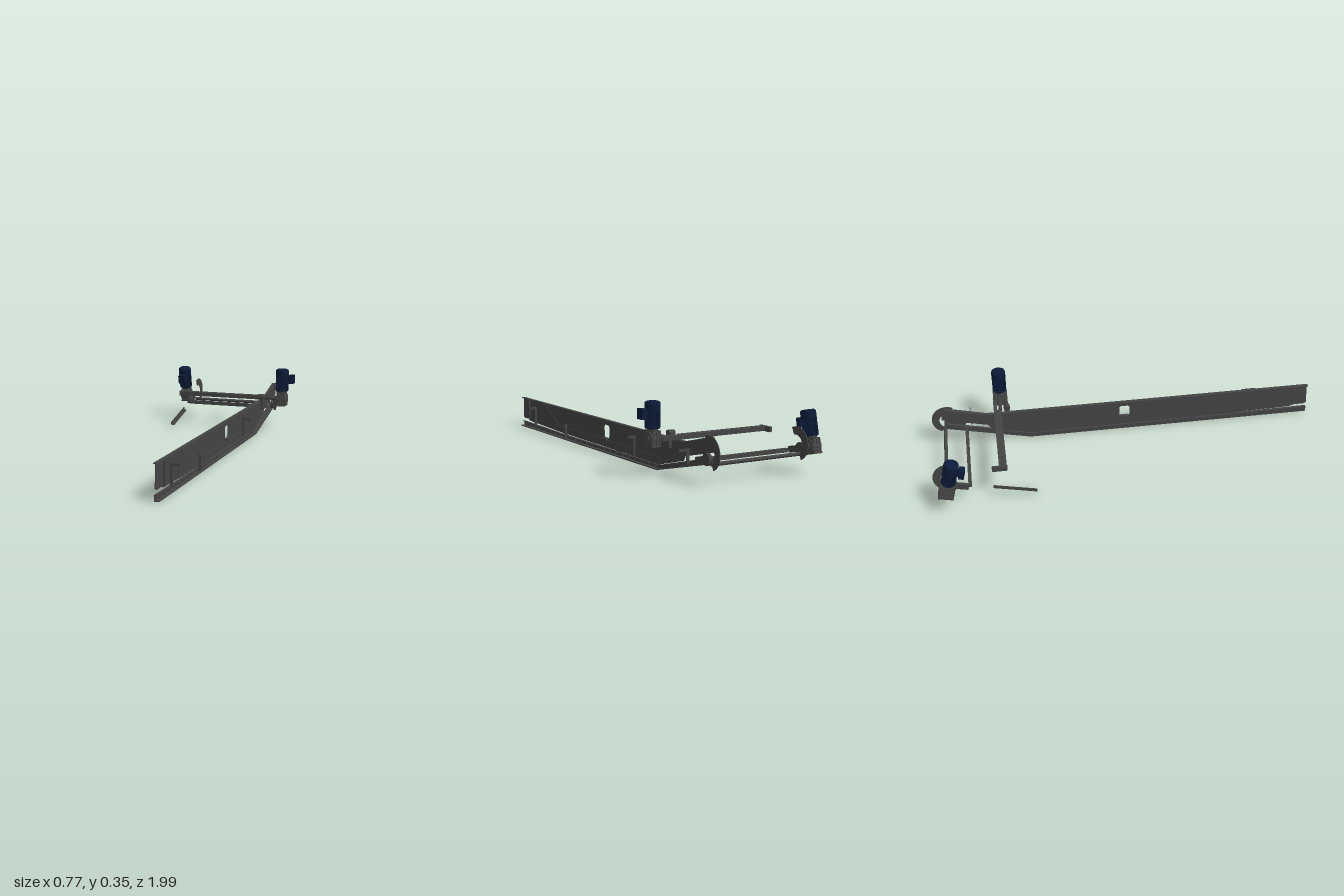
import * as THREE from 'three';

const steel = new THREE.MeshStandardMaterial({ color: 0x444444, side: THREE.DoubleSide });
const cast = new THREE.MeshStandardMaterial({ color: 0x484848 });
const navy = new THREE.MeshStandardMaterial({ color: 0x0b1b38 });

function add(parent, name, geometry, material, x = 0, y = 0, z = 0) {
  const mesh = new THREE.Mesh(geometry, material);
  mesh.name = name;
  mesh.position.set(x, y, z);
  parent.add(mesh);
  return mesh;
}

// Box given by its lower and upper limits
function box(parent, name, [x0, x1], [y0, y1], [z0, z1], material = steel) {
  return add(parent, name, new THREE.BoxGeometry(x1 - x0, y1 - y0, z1 - z0), material,
    (x0 + x1) / 2, (y0 + y1) / 2, (z0 + z1) / 2);
}

// Cylinder lying along x
function rod(parent, name, r, [x0, x1], y, z, material = steel, sides = 24) {
  const g = new THREE.CylinderGeometry(r, r, x1 - x0, sides).rotateZ(Math.PI / 2);
  return add(parent, name, g, material, (x0 + x1) / 2, y, z);
}

// Sheet cut from a side outline in (z, y), spanning x0 to x1
function sheet(parent, name, shape, [x0, x1]) {
  const g = new THREE.ExtrudeGeometry(shape, { depth: x1 - x0, bevelEnabled: false, curveSegments: 16 });
  return add(parent, name, g.rotateY(-Math.PI / 2), steel, x1);
}
const outline = (pts) => new THREE.Shape(pts.map(([z, y]) => new THREE.Vector2(z, y)));

// Flat strip following a polyline in (z, y)
function strip(parent, name, pts, t, xs) {
  const lower = pts.map(([z, y]) => [z, y - t]).reverse();
  return sheet(parent, name, outline([...pts, ...lower]), xs);
}

// Curved guard around the end of the conveyor
function guard(parent, x) {
  const s = new THREE.Shape();
  s.absarc(-0.922, 0.147, 0.077, 1.1, 4.3, false);
  s.absarc(-0.915, 0.14, 0.046, 4.1, 1.3, true);
  sheet(parent, 'endGuard', s, [x - 0.002, x + 0.002]);
}

// Upright geared motor; origin at the gearbox output shaft
function gearMotor(name) {
  const g = new THREE.Group();
  g.name = name;
  // gearbox with round flanges, ribs and foot
  box(g, 'gearboxCase', [-0.021, 0.021], [-0.027, 0.035], [-0.032, 0.032], cast);
  rod(g, 'gearboxCover', 0.034, [-0.026, 0.026], 0, 0, cast);
  rod(g, 'outputHub', 0.016, [-0.031, 0.031], 0, 0, cast);
  for (const x of [-0.018, 0, 0.018])
    box(g, 'gearboxRib', [x - 0.002, x + 0.002], [-0.032, 0.038], [-0.037, 0.037], cast);
  box(g, 'gearboxFoot', [-0.024, 0.024], [-0.036, -0.028], [-0.036, 0.036], cast);
  add(g, 'motorNeck', new THREE.CylinderGeometry(0.027, 0.023, 0.016, 24), cast, 0, 0.04);
  // motor body and fan cowl
  const profile = [[0, 0.046], [0.033, 0.046], [0.035, 0.05], [0.035, 0.054], [0.0315, 0.056], [0.0315, 0.125],
    [0.036, 0.126], [0.036, 0.156], [0.034, 0.163], [0.028, 0.167], [0, 0.168]];
  profile.slice(0, -1).forEach(([r, y], i) => {
    const [r2, y2] = profile[i + 1];
    const p = [new THREE.Vector2(r, y), new THREE.Vector2(r2, y2)];
    add(g, 'motorShell', new THREE.LatheGeometry(p, 32), navy);
  });
  // cooling fins
  for (let i = 0; i < 28; i++) {
    const a = (i / 28) * Math.PI * 2;
    const fin = add(g, 'coolingFin', new THREE.BoxGeometry(0.006, 0.072, 0.002), navy,
      0.0325 * Math.cos(a), 0.09, -0.0325 * Math.sin(a));
    fin.rotation.y = a;
  }
  return g;
}

// Terminal box on the side of a motor, facing local +x
function terminalBox(motor, turn) {
  const holder = new THREE.Group();
  holder.name = 'terminalBox';
  box(holder, 'terminalNeck', [0.028, 0.045], [0.1, 0.13], [-0.014, 0.014], navy);
  box(holder, 'terminalCase', [0.041, 0.067], [0.09, 0.137], [-0.02, 0.02], navy);
  holder.rotation.y = turn;
  motor.add(holder);
}

export function createModel() {
  const model = new THREE.Group();
  model.name = 'conveyorSide';

  // Main side plate with the inspection opening
  const plate = outline([[0.99, 0.165], [0.995, 0.055], [0.975, 0.048], [0.93, 0.05], [0.9, 0.04], [0.5, 0.03],
    [-0.5, 0.026], [-0.7, 0.076], [-0.715, 0.1], [-0.88, 0.138], [-0.95, 0.155], [-0.94, 0.215], [-0.9, 0.212], [-0.72, 0.166]]);
  const hole = new THREE.Path();
  const [hw, h0, h1, hr] = [0.027, 0.077, 0.141, 0.012];
  hole.absarc(hw - hr, h1 - hr, hr, 0, Math.PI / 2);
  hole.absarc(-hw + hr, h1 - hr, hr, Math.PI / 2, Math.PI);
  hole.absarc(-hw + hr, h0 + hr, hr, Math.PI, Math.PI * 1.5);
  hole.absarc(hw - hr, h0 + hr, hr, Math.PI * 1.5, Math.PI * 2);
  plate.holes.push(hole);
  sheet(model, 'sidePlate', plate, [0.19, 0.194]);

  // Top flange, running up the incline
  strip(model, 'topFlange', [[0.995, 0.167], [-0.72, 0.167], [-0.93, 0.22]], 0.004, [0.183, 0.203]);

  // Lower skirt overlapping the side plate
  sheet(model, 'lowerSkirt', outline([[0.72, 0.162], [0.69, 0.15], [0.64, 0.125], [0.53, 0.066],
    [-0.42, 0.064], [-0.5, 0.062], [-0.5, 0.028], [0.5, 0.032], [0.72, 0.036]]), [0.194, 0.197]);

  // Bottom channel with web, two lips and bolts
  const low = [[0.995, 0.03], [0.5, 0.024], [-0.5, 0.024], [-0.93, 0.13]];
  const base = [[0.995, 0.006], [-0.5, 0.006], [-0.93, 0.106]];
  sheet(model, 'bottomWeb', outline([...low, ...[...base].reverse()]), [0.186, 0.19]);
  strip(model, 'bottomLip', base, 0.005, [0.186, 0.21]);
  strip(model, 'channelLip', low, 0.003, [0.186, 0.2]);
  for (let i = 0; i < 24; i++)
    rod(model, 'railBolt', 0.004, [0.19, 0.199], 0.014, 0.96 - i * 0.062, steel, 6);

  // Stiffeners and support pegs
  for (const [z, y0, y1, x] of [[0.82, 0.03, 0.132, 0.205], [0.44, 0.008, 0.086, 0.208], [-0.28, 0.03, 0.132, 0.205]])
    box(model, 'stiffener', [0.194, x], [y0, y1], [z - 0.004, z + 0.004]);
  for (const z of [0.82, -0.285]) box(model, 'supportPeg', [0.194, 0.24], [0.118, 0.13], [z - 0.005, z + 0.005]);
  box(model, 'openingStop', [0.194, 0.209], [0.065, 0.075], [-0.02, 0.02]);
  box(model, 'endStiffener', [0.194, 0.202], [0.05, 0.162], [0.9, 0.906]);

  // Hand latch on the top edge
  rod(model, 'latchBar', 0.003, [0.198, 0.212], 0.16, 0.71);
  rod(model, 'latchBar', 0.003, [0.198, 0.212], 0.16, 0.64);
  box(model, 'latchGrip', [0.208, 0.213], [0.156, 0.164], [0.637, 0.713]);

  // Head plate and end guards
  sheet(model, 'headPlate', outline([[-0.7, 0.125], [-0.72, 0.168], [-0.9, 0.213], [-0.945, 0.2],
    [-0.95, 0.155], [-0.88, 0.14]]), [0.196, 0.2]);
  guard(model, 0.205);
  guard(model, -0.27);

  // Head shaft and cross rail between the sides
  rod(model, 'headShaft', 0.009, [-0.29, 0.205], 0.101, -0.935);
  box(model, 'crossRail', [-0.29, 0.188], [0.09, 0.109], [-0.833, -0.817]);
  for (const [x0, x1] of [[0.2, 0.217], [-0.308, -0.293]]) {
    const arm = box(model, 'bearingArm', [x0, x1], [0.1, 0.13], [-0.935, -0.83]);
    arm.rotation.x = 0.23;
    rod(model, 'bearingHousing', 0.028, [x0, x1], 0.12, -0.91);
  }

  // Upper cross beam with bolts, bearing and drive shaft
  box(model, 'crossBeam', [-0.29, 0.19], [0.169, 0.19], [-0.68, -0.642]);
  box(model, 'beamExtension', [0.19, 0.29], [0.169, 0.19], [-0.68, -0.662]);
  for (let i = 0; i < 9; i++)
    add(model, 'beamBolt', new THREE.CylinderGeometry(0.004, 0.004, 0.005, 6), steel, -0.265 + i * 0.055, 0.191, -0.66);
  rod(model, 'driveShaft', 0.009, [0.2, 0.3], 0.18, -0.645);
  rod(model, 'guideRoller', 0.016, [0.188, 0.22], 0.19, -0.612);
  box(model, 'rollerBracket', [0.204, 0.22], [0.125, 0.19], [-0.625, -0.6]);
  box(model, 'beamEndPlate', [-0.288, -0.274], [0.167, 0.192], [-0.715, -0.64]);

  // Thin angle bracket beside the incline
  box(model, 'angleBracket', [0.228, 0.243], [0.085, 0.153], [-0.803, -0.799]);
  box(model, 'angleBracket', [0.243, 0.284], [0.14, 0.153], [-0.803, -0.799]);

  // Sloping strip on the far side
  strip(model, 'farStrip', [[-0.505, 0.036], [-0.715, 0.085]], 0.016, [-0.29, -0.286]);
  strip(model, 'farStripLip', [[-0.505, 0.024], [-0.715, 0.073]], 0.004, [-0.29, -0.271]);

  // Drive motors
  const upright = gearMotor('rightDrive');
  terminalBox(upright, 0);
  upright.position.set(0.317, 0.18, -0.64);
  const tilted = gearMotor('leftDrive');
  terminalBox(tilted, -Math.PI / 2);
  tilted.position.set(-0.348, 0.129, -0.935);
  tilted.rotation.x = 0.23;
  model.add(upright, tilted);
  rod(model, 'outputShaft', 0.01, [-0.33, -0.29], 0.127, -0.93);

  return model;
}
